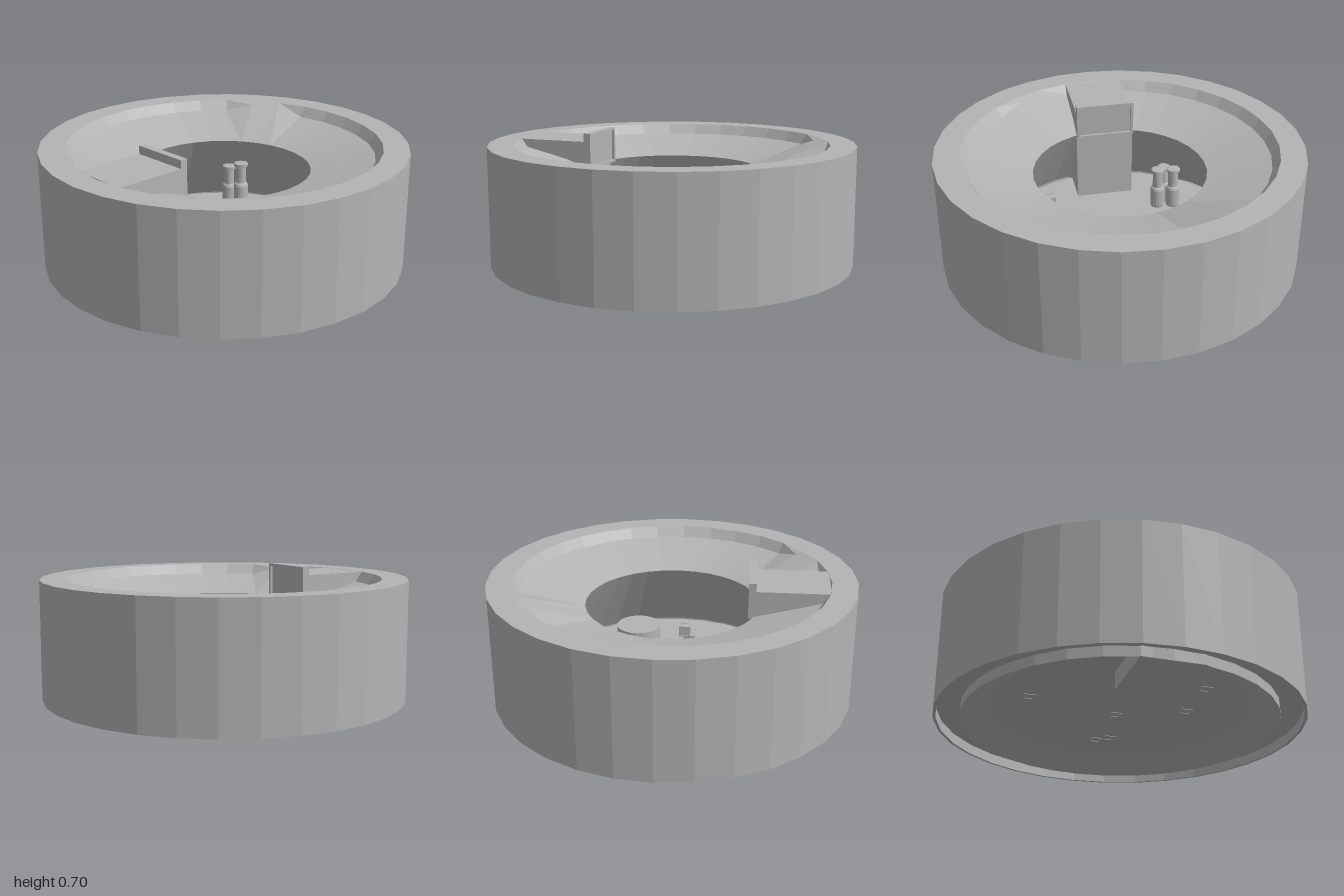
import * as THREE from 'three';

const SIDES = 32;
const FLOOR = 0.095;

export function createModel() {
  const model = new THREE.Group();
  const stone = new THREE.MeshStandardMaterial({ color: 0xb4b4b4, side: THREE.DoubleSide, flatShading: true });
  stone.name = 'grey stone';

  const add = (name, geometry, x = 0, y = 0, z = 0, parent = model) => {
    const mesh = new THREE.Mesh(geometry, stone);
    mesh.name = name;
    mesh.position.set(x, y, z);
    parent.add(mesh);
    return mesh;
  };
  const box = (name, w, h, d, x, y, z, parent) => add(name, new THREE.BoxGeometry(w, h, d), x, y, z, parent);
  const lathe = (name, points, sides, x, y, z, parent) =>
    add(name, new THREE.LatheGeometry(points.map(p => new THREE.Vector2(...p)), sides), x, y, z, parent);

  // Floor, hollow base and outer wall up to the flat rim
  lathe('floorAndBase', [[0, FLOOR], [0.7, FLOOR], [0.86, 0], [0.86, 0.055], [0.985, 0.055], [0.985, 0], [1, 0]], SIDES);
  lathe('outerWall', [[1, 0], [1, 0.655], [0.86, 0.655]], SIDES);

  // Sloping bowl and pit wall; two pairs of columns rise into smooth ramps
  const profile = [[0.72, FLOOR], [0.475, 0.51], [0.82, 0.6], [0.86, 0.655]];
  const bowl = new THREE.BufferGeometry();
  const position = [], index = [];
  profile.forEach(([r0, y0], k) => {
    for (let i = 0; i < SIDES; i++) {
      const onRamp = k === 2 && (i % 16 === 2 || i % 16 === 3);
      const a = (i / SIDES) * Math.PI * 2, y = onRamp ? 0.64 : y0;
      position.push(r0 * Math.sin(a), y, r0 * Math.cos(a));
      if (k > 0) {
        const j = (i + 1) % SIDES, p = (k - 1) * SIDES, q = k * SIDES;
        index.push(p + i, q + i, q + j, p + i, q + j, p + j);
      }
    }
  });
  bowl.setAttribute('position', new THREE.Float32BufferAttribute(position, 3));
  bowl.setIndex(index);
  bowl.computeVertexNormals();
  add('bowl', bowl);

  // Viewing platform block, level with the rim
  box('platform', 0.33, 0.654, 0.4, 0, 0.327, 0.65);

  // Framed screen on the inner edge of the platform
  const screen = new THREE.Group();
  screen.name = 'screen';
  model.add(screen);
  box('screenPanel', 0.32, 0.19, 0.025, 0, 0.6, 0.445, screen);
  for (const s of [-1, 1]) {
    box('screenFrameSide', 0.015, 0.2, 0.04, s * 0.1575, 0.6, 0.438, screen);
    box('screenFrameRail', 0.33, 0.015, 0.04, 0, 0.6 + s * 0.0925, 0.438, screen);
  }

  // Crates with raised edges
  const size = 0.065, bar = 0.009;
  const crate = (x, z, level = 0) => {
    const g = new THREE.Group();
    g.name = 'crate';
    g.position.set(x, FLOOR - 0.003 + size * (level + 0.5), z);
    model.add(g);
    const inner = size - 0.008, e = (size - bar) / 2;
    box('crateCore', inner, inner, inner, 0, 0, 0, g);
    for (const s of [-1, 1]) for (const t of [-1, 1]) {
      box('crateEdge', size, bar, bar, 0, s * e, t * e, g);
      box('crateEdge', bar, size, bar, s * e, 0, t * e, g);
      box('crateEdge', bar, bar, size, s * e, t * e, 0, g);
    }
    // Diagonal slats
    for (let k = 0; k < 4; k++) {
      const a = (k * Math.PI) / 2;
      const slat = box('crateSlat', inner * 1.3, bar, 0.005, Math.sin(a) * 0.029, 0, Math.cos(a) * 0.029, g);
      slat.rotation.set(0, a, Math.PI / 4);
    }
  };
  crate(0, -0.09);
  crate(0.355, 0.07);
  crate(0.338, 0.045, 1);
  crate(0.07, -0.445);
  crate(0, -0.495);
  crate(0.03, -0.475, 1);
  crate(0.345, 0.385);
  crate(-0.51, 0.02);

  // Tall canisters: wide foot, narrower neck, capped top
  const canister = (x, z, s = 1) => lathe('canister', [
    [0, 0], [0.042, 0], [0.045, 0.01], [0.045, 0.12], [0.04, 0.135], [0.032, 0.14],
    [0.032, 0.24], [0.042, 0.245], [0.042, 0.262], [0.03, 0.265], [0, 0.265]
  ].map(([r, y]) => [r * s, y * s]), 16, x, FLOOR, z);
  canister(-0.3, -0.43);
  canister(-0.36, -0.39, 0.92);
  canister(-0.37, 0.25, 0.92);
  canister(-0.28, 0.26, 0.92);
  canister(-0.33, 0.32, 0.85);

  // Low round plinth by the pit wall
  add('plinth', new THREE.CylinderGeometry(0.13, 0.13, 0.08, 24), 0.42, FLOOR + 0.04, -0.24);

  return model;
}
